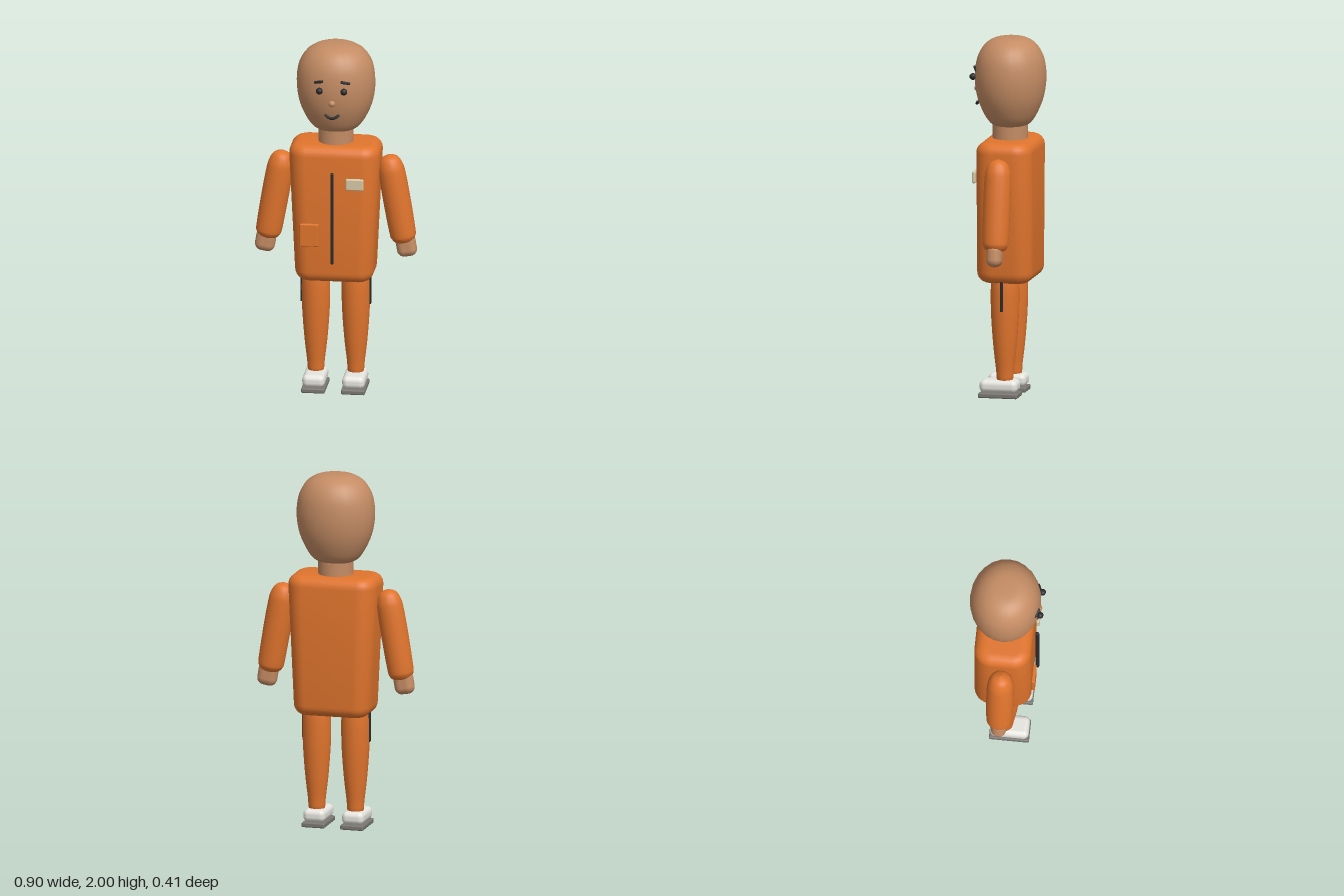
import * as THREE from 'three';
import { RoundedBoxGeometry } from 'three/addons/geometries/RoundedBoxGeometry.js';
import { toCreasedNormals } from 'three/addons/utils/BufferGeometryUtils.js';

const mat = (name, color) => new THREE.MeshStandardMaterial({ name, color });

// Smooth lathe through [radius, y] points, listed bottom to top
function lathe(points, segments = 24, samples = 28) {
  const curve = new THREE.SplineCurve(points.map(([r, y]) => new THREE.Vector2(r, y)));
  const profile = curve.getPoints(samples).map(p => p.setX(Math.max(0, p.x)));
  return new THREE.LatheGeometry(profile, segments);
}

export function createModel() {
  const model = new THREE.Group();
  model.name = 'figure';
  const skin = mat('skin', 0xc48c64);
  const suit = mat('orange suit', 0xe0742d);
  const dark = mat('dark trim', 0x2a2a2d);
  const white = mat('shoe white', 0xe6e4de);
  const grey = mat('sole grey', 0x7a7772);
  const cream = mat('badge cream', 0xd6c8a6);

  function add(name, geometry, material, x = 0, y = 0, z = 0, parent = model) {
    const mesh = new THREE.Mesh(geometry, material);
    mesh.name = name;
    mesh.position.set(x, y, z);
    parent.add(mesh);
    return mesh;
  }
  const box = (w, h, d, r) => new RoundedBoxGeometry(w, h, d, 3, r);

  // Head: egg with a flattened crown, and neck
  const head = lathe([[0, 1.5], [0.08, 1.503], [0.13, 1.527], [0.17, 1.585], [0.203, 1.665],
    [0.218, 1.755], [0.214, 1.84], [0.195, 1.905], [0.155, 1.96], [0.09, 1.994], [0, 2]], 24, 36);
  add('head', head, skin, 0, 0, -0.01).scale.z = 0.9;
  add('neck', new THREE.CylinderGeometry(0.098, 0.098, 0.12, 24), skin, 0, 1.47, -0.008);

  // Torso: rounded plan raised with bevelled ends, narrowing to the hips
  const bevel = 0.06, w = 0.195, d = 0.097, c = 0.04, height = 0.79;
  const plan = new THREE.Shape();
  plan.moveTo(w, -d + c);
  plan.absarc(w - c, d - c, c, 0, Math.PI / 2);
  plan.absarc(-w + c, d - c, c, Math.PI / 2, Math.PI);
  plan.absarc(-w + c, -d + c, c, Math.PI, Math.PI * 1.5);
  plan.absarc(w - c, -d + c, c, Math.PI * 1.5, Math.PI * 2);
  const torso = new THREE.ExtrudeGeometry(plan, {
    depth: height - 2 * bevel, bevelThickness: bevel, bevelSize: bevel, bevelSegments: 6, curveSegments: 6,
  });
  torso.translate(0, 0, bevel).rotateX(-Math.PI / 2);
  const pos = torso.attributes.position;
  for (let i = 0; i < pos.count; i++) {
    pos.setX(i, pos.getX(i) * (0.85 + 0.15 * pos.getY(i) / height));
  }
  add('torso', toCreasedNormals(torso, 0.8), suit, 0, 0.645, -0.01);

  // Chest details
  add('zipper', box(0.018, 0.53, 0.022, 0.008), dark, 0, 1.032, 0.166);
  add('badge', box(0.1, 0.066, 0.02, 0.008), cream, 0.125, 1.233, 0.161);
  add('pocket', box(0.106, 0.13, 0.02, 0.006), suit, -0.127, 0.93, 0.161);

  // Nose and mouth
  add('nose', new THREE.SphereGeometry(0.02, 14, 10), skin, 0, 1.705, 0.174);
  const smile = new THREE.QuadraticBezierCurve3(
    new THREE.Vector3(-0.035, 1.634, 0.168), new THREE.Vector3(0, 1.606, 0.19), new THREE.Vector3(0.035, 1.634, 0.168));
  add('mouth', new THREE.TubeGeometry(smile, 14, 0.008, 8), dark);
  for (const x of [-0.035, 0.035]) {
    add('mouthCorner', new THREE.SphereGeometry(0.008, 8, 6), dark, x, 1.634, 0.168);
  }

  const arm = lathe([[0, -0.255], [0.045, -0.251], [0.066, -0.23], [0.073, -0.19], [0.076, 0],
    [0.074, 0.14], [0.067, 0.195], [0.045, 0.238], [0, 0.257]], 18, 32);
  const leg = lathe([[0, 0.085], [0.041, 0.09], [0.05, 0.16], [0.064, 0.28], [0.075, 0.42],
    [0.079, 0.53], [0.077, 0.64], [0.06, 0.7], [0, 0.73]], 20, 32);

  // Paired parts on both sides
  for (const s of [-1, 1]) {
    const side = s > 0 ? 'left' : 'right';

    add(side + 'Eye', new THREE.SphereGeometry(0.019, 16, 12), dark, s * 0.068, 1.78, 0.188);
    const brow = add(side + 'Eyebrow', box(0.056, 0.015, 0.018, 0.006), dark, s * 0.074, 1.827, 0.171);
    brow.rotation.set(0, s * 0.4, -s * 0.25);

    // Arm and hand share one outward tilt
    const limb = new THREE.Group();
    limb.name = side + 'Arm';
    limb.position.set(s * 0.337, 1.11, -0.007);
    limb.rotation.z = s * 0.17;
    model.add(limb);
    add(side + 'Sleeve', arm, suit, 0, 0, 0, limb);
    add(side + 'Hand', box(0.112, 0.13, 0.084, 0.04), skin, s * 0.007, -0.275, 0, limb);

    // Leg, side stripe, shoe and sole
    add(side + 'Leg', leg, suit, s * 0.111, 0, -0.003);
    add(side + 'LegStripe', box(0.014, 0.2, 0.016, 0.005), dark, s * 0.19, 0.59, 0);
    add(side + 'Shoe', box(0.126, 0.072, 0.214, 0.03), white, s * 0.111, 0.064, 0.026);
    add(side + 'Sole', box(0.132, 0.028, 0.222, 0.008), grey, s * 0.111, 0.014, 0.026);
  }
  return model;
}
